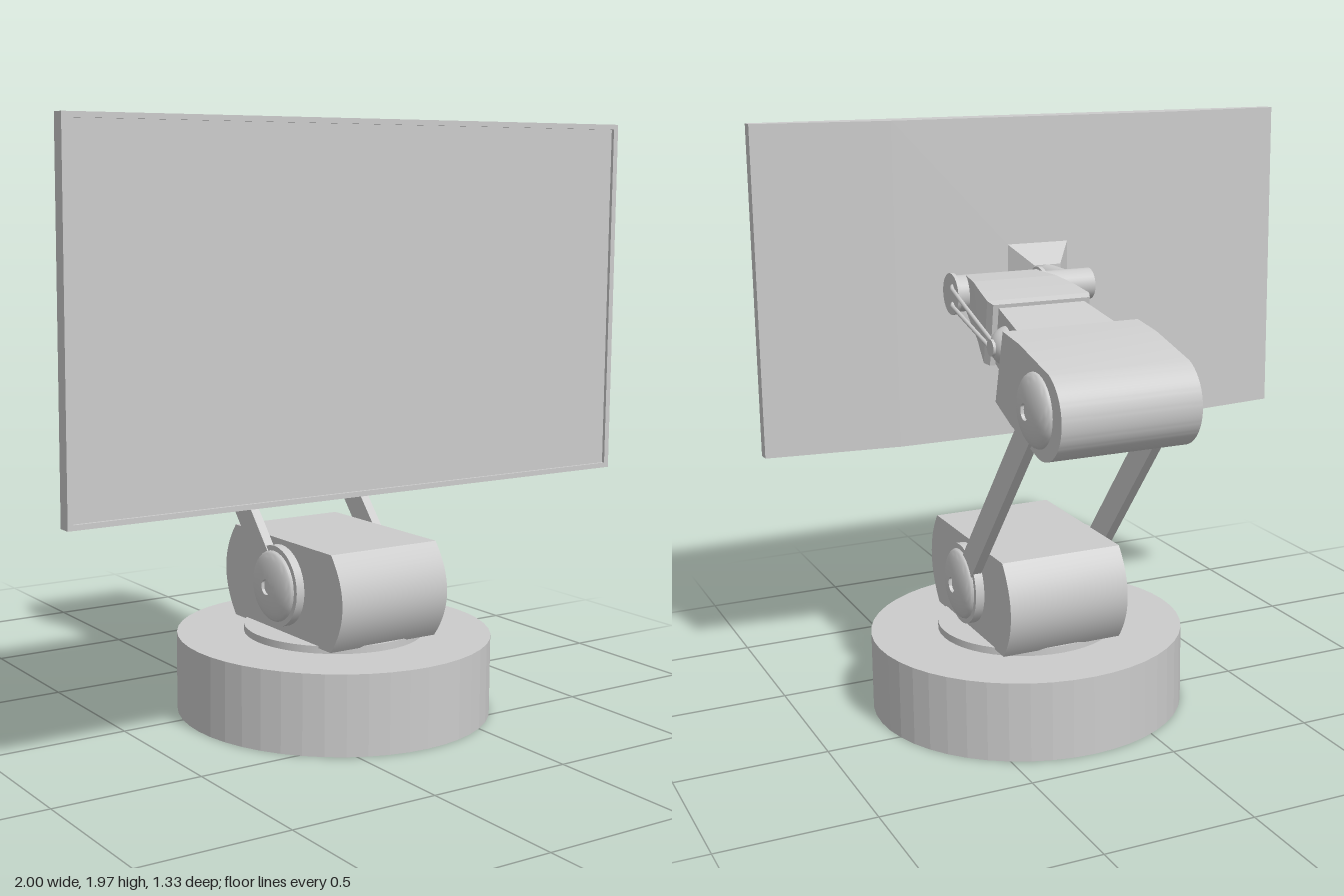
import * as THREE from 'three';
import { toCreasedNormals } from 'three/addons/utils/BufferGeometryUtils.js';

const CX = 0.237; // centre line of base and arm
const ELBOW = { z: -0.49, y: 1.185 };
const SHOULDER = { z: 0.132, y: 0.45 };
const WRIST = { z: 0.31, y: 1.405 };

const grey = new THREE.MeshStandardMaterial({ color: 0xcccccc });
const greyFlat = new THREE.MeshStandardMaterial({ color: 0xcccccc, flatShading: true });

export function createModel() {
  const model = new THREE.Group();

  const add = (name, geometry, x = 0, y = 0, z = 0, material = grey) => {
    const mesh = new THREE.Mesh(geometry, material);
    mesh.name = name;
    mesh.position.set(x, y, z);
    model.add(mesh);
    return mesh;
  };

  // Side profile drawn in (z, y), extruded symmetrically along x
  const sideExtrude = (shape, width) => {
    const g = new THREE.ExtrudeGeometry(shape, { depth: width, bevelEnabled: false, curveSegments: 24 });
    g.translate(0, 0, -width / 2).rotateY(-Math.PI / 2);
    return toCreasedNormals(g, 0.5);
  };

  // Cylinder lying along x, from x0 to x1
  const barX = (name, r, x0, x1, y, z) =>
    add(name, new THREE.CylinderGeometry(r, r, x1 - x0, 32).rotateZ(Math.PI / 2), (x0 + x1) / 2, y, z);

  // Four-cornered sections [zTop, yTop, zBottom, yBottom, halfWidth], running towards +z
  const loft = (sections) => {
    const rings = sections.map(([zt, yt, zb, yb, w]) => [[w, yt, zt], [-w, yt, zt], [-w, yb, zb], [w, yb, zb]]);
    const pos = [];
    const quad = (a, b, c, d) => pos.push(...a, ...b, ...c, ...a, ...c, ...d);
    for (let i = 0; i < rings.length - 1; i++) {
      for (let j = 0; j < 4; j++) {
        const k = (j + 1) % 4;
        quad(rings[i][j], rings[i][k], rings[i + 1][k], rings[i + 1][j]);
      }
    }
    const [a, b, c, d] = rings[0];
    quad(d, c, b, a);
    quad(...rings[rings.length - 1]);
    const g = new THREE.BufferGeometry();
    g.setAttribute('position', new THREE.Float32BufferAttribute(pos, 3));
    g.computeVertexNormals();
    return g;
  };

  // Domed pivot cap with a small socket, pointing to side (+1 or -1) along x
  const dome = (r, h, side) => {
    const pin = 0.026, pts = [new THREE.Vector2(r, 0)];
    const end = Math.acos(pin / r);
    for (let i = 1; i <= 10; i++) {
      const t = (end * i) / 10;
      pts.push(new THREE.Vector2(r * Math.cos(t), h * Math.sin(t)));
    }
    pts.push(new THREE.Vector2(pin, h - 0.012), new THREE.Vector2(0, h - 0.012));
    return toCreasedNormals(new THREE.LatheGeometry(pts, 32).rotateZ(-side * Math.PI / 2), 0.6);
  };

  // Base and turntable
  add('base', new THREE.CylinderGeometry(0.533, 0.533, 0.267, 48), CX, 0.1335, 0.132, greyFlat);
  add('turntable', new THREE.CylinderGeometry(0.304, 0.304, 0.025, 48), CX, 0.279, 0.132);

  // Shoulder block with bulged ends
  const block = new THREE.Shape();
  block.moveTo(-0.16, 0.285);
  block.lineTo(0.42, 0.285);
  block.quadraticCurveTo(0.55, 0.445, 0.42, 0.605);
  block.lineTo(-0.16, 0.605);
  block.quadraticCurveTo(-0.29, 0.445, -0.16, 0.285);
  add('shoulderBlock', sideExtrude(block, 0.42), CX);

  // Elbow housing, round at the back
  const housing = new THREE.Shape();
  housing.moveTo(-0.18, 1.145);
  housing.lineTo(-0.245, 1.379);
  housing.lineTo(-0.37, 1.362);
  housing.absarc(-0.525, 1.18, 0.141, 1.97, 4.9, false);
  housing.lineTo(-0.298, 1.097);
  housing.closePath();
  add('elbowHousing', sideExtrude(housing, 0.464), CX);

  // Paired link bars with pivot caps at both ends
  const dz = ELBOW.z - SHOULDER.z, dy = ELBOW.y - SHOULDER.y;
  for (const side of [1, -1]) {
    const link = add('linkBar', new THREE.BoxGeometry(0.032, 0.092, Math.hypot(dz, dy)),
      CX + side * 0.228, (ELBOW.y + SHOULDER.y) / 2, (ELBOW.z + SHOULDER.z) / 2);
    link.rotation.x = Math.atan2(-dy, dz);
    const ringX = CX + side * 0.224;
    barX('shoulderRing', 0.137, ringX - 0.016, ringX + 0.016, SHOULDER.y, SHOULDER.z);
    add('shoulderCap', dome(0.12, 0.035, side), CX + side * 0.239, SHOULDER.y, SHOULDER.z);
    add('elbowCap', dome(0.116, 0.042, side), CX + side * 0.231, ELBOW.y, ELBOW.z);
  }

  // Forearm: chamfered collar and neck, then the wider front section
  add('forearmNeck', loft([
    [-0.245, 1.379, -0.18, 1.145, 0.232],
    [-0.215, 1.368, -0.163, 1.17, 0.17],
    [-0.015, 1.41, 0.02, 1.226, 0.15],
  ]), CX);
  add('forearmFront', loft([
    [-0.026, 1.42, 0.01, 1.217, 0.17],
    [0, 1.43, 0.037, 1.222, 0.18],
    [0.09, 1.447, 0.09, 1.244, 0.168],
    [0.19, 1.462, 0.16, 1.27, 0.15],
    [0.31, 1.466, 0.31, 1.345, 0.13],
  ]), CX);

  // Wrist barrel, its flanges and the offset arm to the screen
  barX('wristBarrel', 0.061, 0.1, 0.41, WRIST.y, WRIST.z);
  barX('wristFlange', 0.07, 0.088, 0.102, WRIST.y, WRIST.z);
  barX('wristFlange', 0.07, 0.408, 0.42, WRIST.y, WRIST.z);
  barX('wristArm', 0.054, -0.09, 0.09, WRIST.y, WRIST.z - 0.005);
  add('screenStub', new THREE.CylinderGeometry(0.05, 0.05, 0.16, 32).rotateX(Math.PI / 2), -0.005, WRIST.y, 0.382);

  // Side knob on the forearm, with two thin rods to the wrist
  add('rodKnob', new THREE.SphereGeometry(0.066, 28, 18), 0.383, 1.3, -0.102);
  barX('rodPin', 0.027, 0.4, 0.452, 1.3, -0.102);
  for (const [y0, z0, y1, z1] of [[1.436, 0.3, 1.311, -0.1], [1.377, 0.3, 1.288, -0.085]]) {
    const path = new THREE.CatmullRomCurve3([
      new THREE.Vector3(0.412, y0, z0),
      new THREE.Vector3(0.427, y0 - 0.005, z0 - 0.018),
      new THREE.Vector3(0.43, y0 + (y1 - y0) * 0.15, z0 + (z1 - z0) * 0.15),
      new THREE.Vector3(0.437, y1, z1),
    ]);
    add('wristRod', new THREE.TubeGeometry(path, 24, 0.007, 8));
  }

  // Pyramid mount behind the screen
  add('screenMount', loft([
    [0.458, 1.455, 0.458, 1.355, 0.05],
    [0.546, 1.527, 0.546, 1.275, 0.12],
  ]), -0.003);

  // Screen body: plan outline with tapered wings, extruded upwards
  const bottom = 0.835, height = 1.13;
  const plan = new THREE.Shape([
    [-1, -0.631], [1, -0.631], [1, -0.597], [0.53, -0.54], [-0.53, -0.54], [-1, -0.597],
  ].map(([x, z]) => new THREE.Vector2(x, z)));
  const body = new THREE.ExtrudeGeometry(plan, { depth: height, bevelEnabled: false }).rotateX(-Math.PI / 2);
  add('screenBody', body, 0, bottom, 0);

  // Thin raised bezel around the display
  const rect = (Type, w, h) => new Type([[-w, -h], [w, -h], [w, h], [-w, h]].map(([x, y]) => new THREE.Vector2(x, y)));
  const frame = rect(THREE.Shape, 1, height / 2);
  frame.holes.push(rect(THREE.Path, 0.982, height / 2 - 0.016));
  add('bezel', new THREE.ExtrudeGeometry(frame, { depth: 0.01, bevelEnabled: false }), 0, bottom + height / 2, 0.631);

  return model;
}
